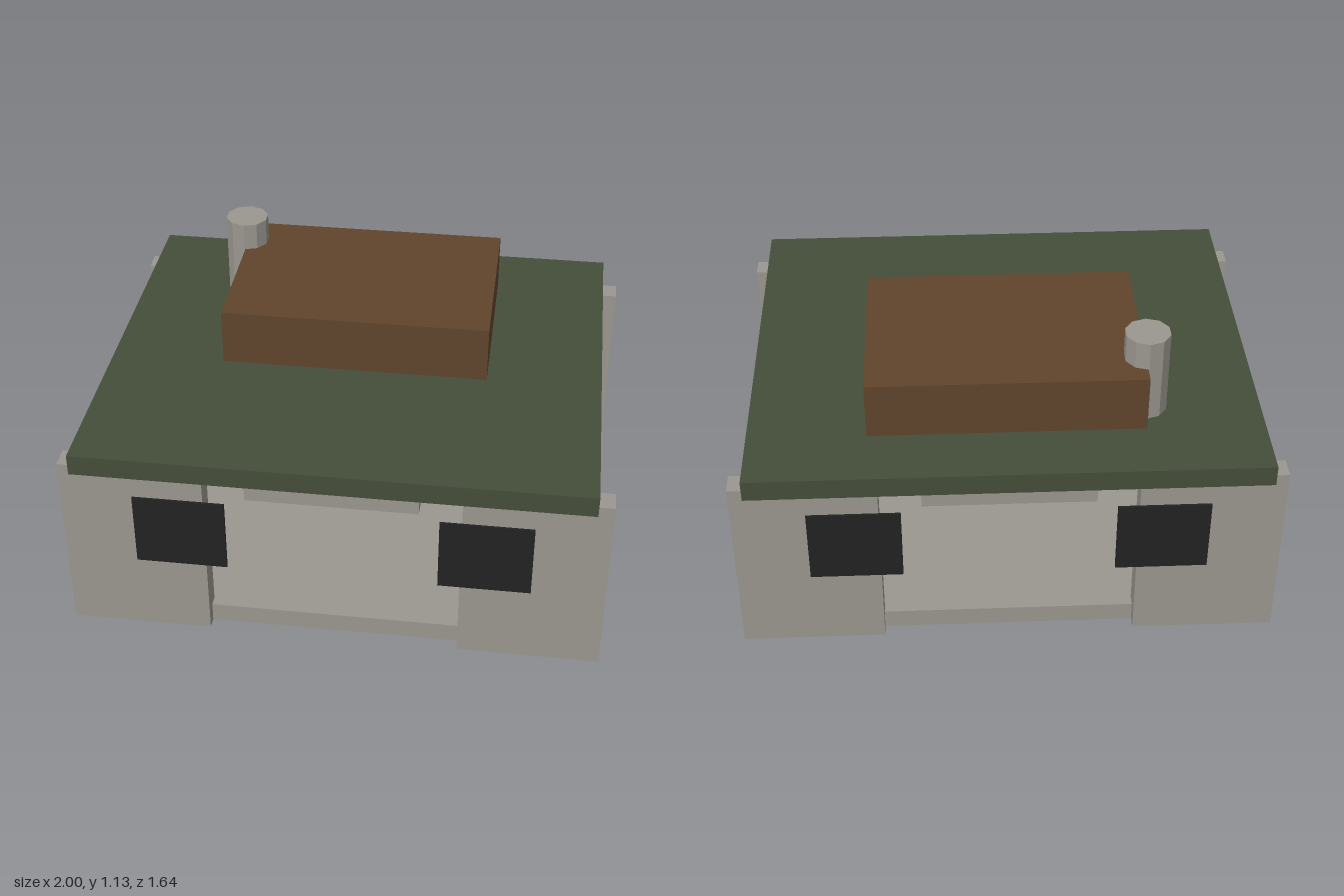
import * as THREE from 'three';

const mat = (name, color) => {
  const m = new THREE.MeshStandardMaterial({ color });
  m.name = name;
  return m;
};

export function createModel() {
  const model = new THREE.Group();
  model.name = 'hut';
  const concrete = mat('concrete grey', 0x9a978f);
  const roofGreen = mat('roof green', 0x454d3a);
  const brown = mat('brown', 0x60452c);
  const black = mat('window black', 0x222222);

  // Box given by its lower and upper limits on each axis
  const box = (name, material, [x0, x1], [y0, y1], [z0, z1]) => {
    const mesh = new THREE.Mesh(new THREE.BoxGeometry(x1 - x0, y1 - y0, z1 - z0), material);
    mesh.position.set((x0 + x1) / 2, (y0 + y1) / 2, (z0 + z1) / 2);
    mesh.name = name;
    model.add(mesh);
  };
  // Limits mirrored to the chosen side
  const side = (s, a, b) => (s > 0 ? [a, b] : [-b, -a]);

  box('floor', concrete, [-0.89, 0.89], [0, 0.075], [-0.69, 0.69]);

  for (const s of [1, -1]) {
    box('sideWall', concrete, side(s, 0.81, 0.89), [0, 0.725], [-0.68, 0.68]);
  }

  // Front and back are alike: two panels with windows, a sill and a lintel
  for (const f of [1, -1]) {
    const end = f > 0 ? 'front' : 'back';
    for (const s of [1, -1]) {
      box(end + 'Panel', concrete, side(s, 0.47, 1), [0, 0.725], side(f, 0.68, 0.765));
      box(end + 'Window', black, side(s, 0.39, 0.73), [0.315, 0.605], side(f, 0.766, 0.775));
    }
    box(end + 'Sill', concrete, [-0.47, 0.47], [0, 0.075], side(f, 0.69, 0.72));
    box(end + 'Lintel', concrete, [-0.315, 0.315], [0.63, 0.725], side(f, 0.68, 0.765));
  }

  // Roof slab with the raised block and the chimney
  box('roof', roofGreen, [-0.94, 0.94], [0.725, 0.805], [-0.818, 0.818]);
  box('roofBlock', brown, [-0.507, 0.507], [0.808, 1.025], [-0.577, 0.143]);

  const chimney = new THREE.Mesh(
    new THREE.CylinderGeometry(0.084, 0.084, 0.332, 10).toNonIndexed(), concrete);
  chimney.geometry.computeVertexNormals();
  chimney.position.set(-0.51, 0.966, -0.433);
  chimney.name = 'chimney';
  model.add(chimney);

  return model;
}
